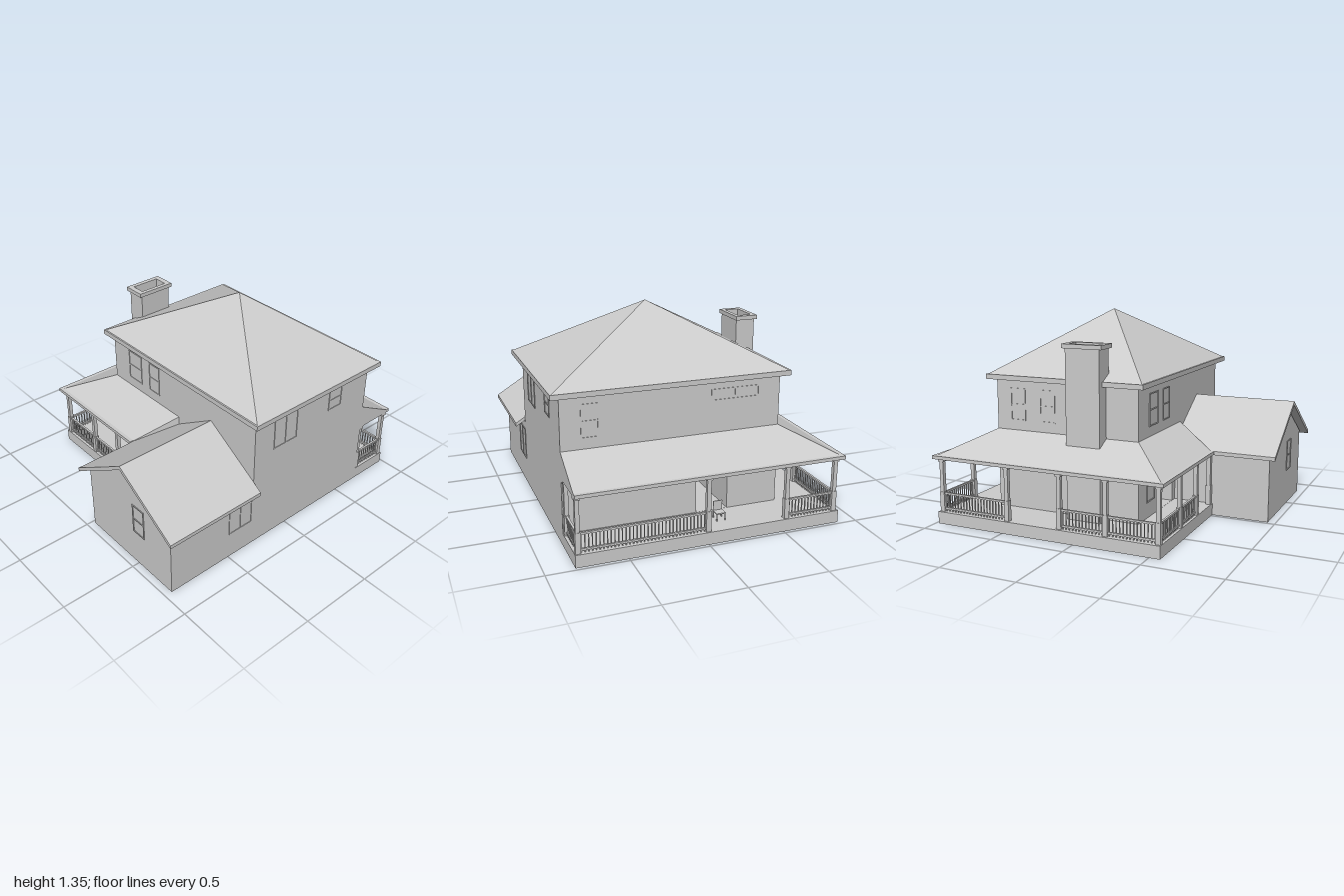
import * as THREE from 'three';

const mat = new THREE.MeshStandardMaterial({ color: 0xcccccc, flatShading: true });
const thin = new THREE.MeshStandardMaterial({ color: 0xcccccc, flatShading: true, side: THREE.DoubleSide });

function add(parent, name, geometry, material = mat) {
  const mesh = new THREE.Mesh(geometry, material);
  mesh.name = name;
  parent.add(mesh);
  return mesh;
}

// Box given by its minimum and maximum on each axis
function box(parent, name, x0, x1, y0, y1, z0, z1) {
  const mesh = add(parent, name, new THREE.BoxGeometry(x1 - x0, y1 - y0, z1 - z0));
  mesh.position.set((x0 + x1) / 2, (y0 + y1) / 2, (z0 + z1) / 2);
  return mesh;
}

const polygon = (pts) => new THREE.Shape(pts.map(([x, y]) => new THREE.Vector2(x, y)));

// Outline in x and y, extruded from z0 to z1
function extrude(shape, z0, z1) {
  return new THREE.ExtrudeGeometry(shape, { depth: z1 - z0, bevelEnabled: false }).translate(0, 0, z0);
}

function group(parent, name) {
  const g = new THREE.Group();
  g.name = name;
  parent.add(g);
  return g;
}

// Framed sash window centred on its own origin and facing its own +z
function windowUnit(parent, w, h, x, y, z, turn, panes = 'sash') {
  const g = group(parent, 'window');
  const t = 0.008, d = 0.004;
  for (const s of [-1, 1]) {
    const a = s * (w - t) / 2, b = s * (h - t) / 2;
    box(g, 'windowJamb', a - t / 2, a + t / 2, -h / 2, h / 2, -d, d);
    box(g, 'windowSill', -w / 2, w / 2, b - t / 2, b + t / 2, -d, d);
  }
  if (panes === 'sash') box(g, 'sashRail', -w / 2, w / 2, -t / 2, t / 2, -d, d);
  else box(g, 'mullion', -t / 2, t / 2, -h / 2, h / 2, -d, d);
  g.position.set(x, y, z);
  g.rotation.y = turn;
}

// Porch post with a wider foot and head
function post(parent, x, z) {
  const g = group(parent, 'porchPost');
  for (const [y0, y1, r] of [[0.08, 0.21, 0.016], [0.21, 0.41, 0.013], [0.41, 0.432, 0.019]])
    box(g, 'postSection', x - r, x + r, y0, y1, z - r, z + r);
}

// Railing between two points of the porch edge
function railing(parent, xa, za, xb, zb) {
  const g = group(parent, 'railing');
  const length = Math.hypot(xb - xa, zb - za);
  for (const y of [0.1, 0.2]) box(g, 'rail', 0, length, y - 0.006, y + 0.006, -0.007, 0.007);
  const n = Math.round(length / 0.022);
  for (let i = 1; i < n; i++) {
    const x = length * i / n;
    box(g, 'baluster', x - 0.003, x + 0.003, 0.08, 0.2, -0.003, 0.003);
  }
  g.position.set(xa, 0, za);
  g.rotation.y = Math.atan2(za - zb, xb - xa);
}

export function createModel() {
  const house = new THREE.Group();
  house.name = 'house';

  // Foundation and porch deck
  box(house, 'deck', -0.88, 0.82, 0, 0.08, -0.98, 0.3);
  box(house, 'frontDeck', -0.88, 0.02, 0, 0.08, 0.3, 0.57);

  // Two-storey body with a hallway running through from front to back
  const body = polygon([[-0.58, 0.08], [0.82, 0.08], [0.82, 0.93], [-0.58, 0.93]]);
  body.holes.push(new THREE.Path([[-0.24, 0.081], [-0.24, 0.415], [-0.03, 0.415], [-0.03, 0.081]]
    .map(([x, y]) => new THREE.Vector2(x, y))));
  add(house, 'houseBody', extrude(body, -0.7, 0.3));
  const door = box(house, 'openDoor', 0, 0.18, 0.085, 0.41, -0.006, 0.006);
  door.position.set(-0.195, 0.2475, 0.22);
  door.rotation.y = Math.PI / 3;

  // Main hipped roof on its eaves
  box(house, 'mainEaves', -0.63, 0.88, 0.925, 0.957, -0.75, 0.35);
  const pyramid = new THREE.ConeGeometry(Math.SQRT1_2, 1, 4, 1).rotateY(Math.PI / 4);
  pyramid.scale(1.49, 0.388, 1.08).translate(0.125, 0.957 + 0.194, -0.2);
  add(house, 'mainRoof', pyramid);

  // Front wing and its gabled roof
  add(house, 'frontWing', extrude(polygon([[0.02, 0], [0.82, 0], [0.82, 0.455], [0.425, 0.7], [0.02, 0.455]]), 0.3, 0.95));
  add(house, 'wingRoof', extrude(polygon([[-0.035, 0.425], [0.425, 0.71], [0.885, 0.425],
    [0.885, 0.45], [0.425, 0.737], [-0.035, 0.45]]), 0.3, 1));

  // Wraparound porch: ceiling slab, then slopes between eave and wall lines
  const slab = new THREE.ExtrudeGeometry(polygon([[0.82, -1], [0.82, -0.7], [-0.58, -0.7], [-0.58, 0.3],
    [-0.04, 0.3], [-0.04, 0.595], [-0.895, 0.595], [-0.895, -1]]), { depth: 0.022, bevelEnabled: false });
  slab.rotateX(Math.PI / 2).translate(0, 0.452, 0);
  add(house, 'porchCeiling', slab);
  const eave = [[0.82, -0.975], [-0.87, -0.975], [-0.87, 0.57], [-0.035, 0.57]];
  const wall = [[0.82, -0.7], [-0.58, -0.7], [-0.58, 0.3], [0.11, 0.3]];
  const low = ([x, z]) => [x, 0.452, z], high = ([x, z]) => [x, 0.597, z];
  const tris = [];
  for (let i = 0; i < 3; i++) {
    const a = low(eave[i]), b = low(eave[i + 1]), c = high(wall[i + 1]), d = high(wall[i]);
    tris.push(a, b, c, a, c, d);
  }
  for (const i of [0, 3]) {
    const end = [low(eave[i]), high(wall[i]), low(wall[i])];
    tris.push(...(i ? end.reverse() : end));
  }
  const slopes = new THREE.BufferGeometry();
  slopes.setAttribute('position', new THREE.Float32BufferAttribute(tris.flat(), 3));
  slopes.computeVertexNormals();
  add(house, 'porchRoof', slopes, thin);

  // Posts along the three sides of the porch
  const px = -0.85, back = -0.955, front = 0.55;
  for (const x of [0.8, 0, -0.52, px]) post(house, x, back);
  for (const z of [-0.47, -0.1, 0.21]) post(house, px, z);
  for (const x of [px, -0.53, -0.25, 0]) post(house, x, front);
  post(house, 0.8, -0.715);

  // Railings, leaving the entrances open
  for (const r of [[0.8, -0.715, 0.8, back], [0.8, back, 0, back], [-0.52, back, px, back],
    [px, back, px, -0.47], [px, -0.1, px, 0.21], [px, 0.21, px, front],
    [px, front, -0.53, front], [-0.53, front, -0.25, front]]) railing(house, ...r);

  // Chimney with a hollow cap
  const flue = (x0, x1, z0, z1, y0, y1) => {
    const s = polygon([[x0, z0], [x1, z0], [x1, z1], [x0, z1]]);
    s.holes.push(polygon([[-0.652, -0.13], [-0.558, -0.13], [-0.558, 0.065], [-0.652, 0.065]]));
    return new THREE.ExtrudeGeometry(s, { depth: y1 - y0, bevelEnabled: false })
      .rotateX(Math.PI / 2).translate(0, y1, 0);
  };
  box(house, 'chimney', -0.67, -0.54, 0.08, 1.08, -0.148, 0.083);
  add(house, 'chimneyTop', flue(-0.67, -0.54, -0.148, 0.083, 1.08, 1.16));
  add(house, 'chimneyCap', flue(-0.683, -0.53, -0.167, 0.102, 1.155, 1.182));

  // Windows on each wall
  const R = Math.PI / 2, B = Math.PI;
  windowUnit(house, 0.14, 0.21, -0.35, 0.765, 0.3, 0);
  windowUnit(house, 0.11, 0.21, -0.145, 0.765, 0.3, 0);
  windowUnit(house, 0.13, 0.22, -0.395, 0.29, 0.3, 0);
  windowUnit(house, 0.11, 0.21, 0.515, 0.345, 0.95, 0);
  windowUnit(house, 0.2, 0.21, 0.82, 0.765, 0.04, R, 'pair');
  windowUnit(house, 0.12, 0.145, 0.82, 0.8, -0.4, R);
  windowUnit(house, 0.19, 0.22, 0.82, 0.29, 0.4, R, 'pair');
  windowUnit(house, 0.11, 0.21, 0.64, 0.765, -0.7, B);
  windowUnit(house, 0.32, 0.075, -0.28, 0.835, -0.7, B, 'pair');
  windowUnit(house, 0.59, 0.08, 0.255, 0.36, -0.7, B, 'pair');
  windowUnit(house, 0.11, 0.21, -0.58, 0.765, -0.545, -R);
  windowUnit(house, 0.11, 0.21, -0.58, 0.765, -0.33, -R);

  // Porch chair
  const chair = group(house, 'porchChair');
  box(chair, 'chairSeat', -0.16, -0.1, 0.122, 0.13, -0.86, -0.8);
  box(chair, 'chairBack', -0.16, -0.1, 0.13, 0.19, -0.806, -0.8);
  for (const x of [-0.157, -0.103]) for (const z of [-0.857, -0.803])
    box(chair, 'chairLeg', x - 0.003, x + 0.003, 0.08, 0.124, z - 0.003, z + 0.003);

  return house;
}
